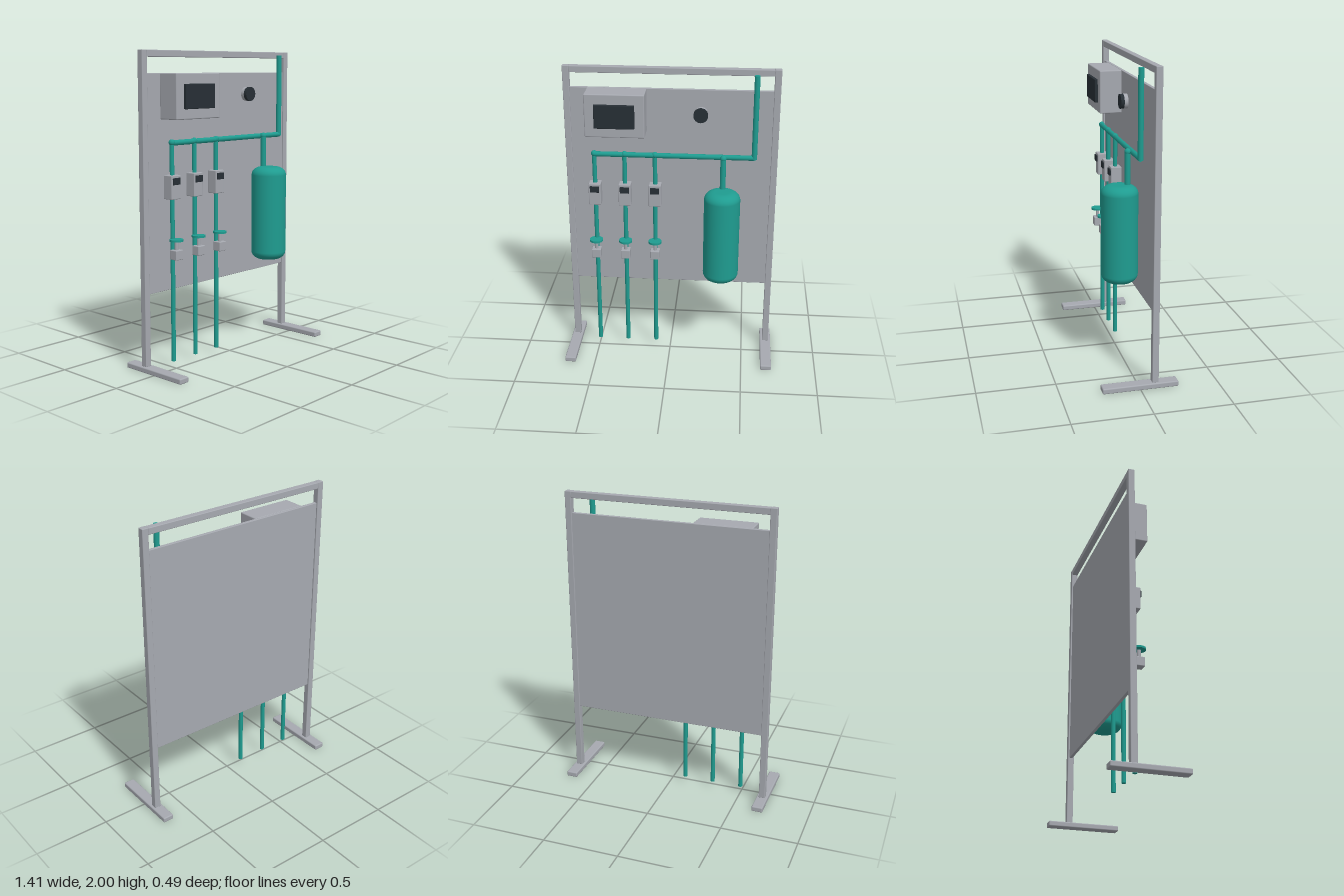
import * as THREE from 'three';
import { RoundedBoxGeometry } from 'three/addons/geometries/RoundedBoxGeometry.js';

const material = (name, color) => {
  const m = new THREE.MeshStandardMaterial({ color });
  m.name = name;
  return m;
};

export function createModel() {
  const grey = material('panel grey', 0xa6a9b0);
  const teal = material('pipe teal', 0x1f9c90);
  const dark = material('display dark', 0x272f35);
  const model = new THREE.Group();
  model.name = 'pipingTestStand';

  const add = (parent, name, geometry, mat, x, y, z) => {
    const mesh = new THREE.Mesh(geometry, mat);
    mesh.name = name;
    mesh.position.set(x, y, z);
    parent.add(mesh);
    return mesh;
  };
  // Box given by its minimum and maximum corners
  const box = (parent, name, mat, [x0, y0, z0], [x1, y1, z1], r = 0.005) =>
    add(parent, name, new RoundedBoxGeometry(x1 - x0, y1 - y0, z1 - z0, 2, r), mat,
      (x0 + x1) / 2, (y0 + y1) / 2, (z0 + z1) / 2);
  // Vertical cylinder from y0 to y1
  const rod = (parent, name, mat, r, x, z, y0, y1, sides = 16) =>
    add(parent, name, new THREE.CylinderGeometry(r, r, y1 - y0, sides), mat, x, (y0 + y1) / 2, z);
  const ball = (parent, name, r, x, y, z) =>
    add(parent, name, new THREE.SphereGeometry(r, 16, 12), teal, x, y, z);

  // Frame: feet, posts, top rail and back panel
  const frame = new THREE.Group();
  frame.name = 'frame';
  model.add(frame);
  for (const side of [-1, 1]) {
    const x = side * 0.668;
    const label = side > 0 ? 'left' : 'right';
    box(frame, label + 'Foot', grey, [x - 0.037, 0, -0.243], [x + 0.037, 0.036, 0.243], 0.008);
    box(frame, label + 'Post', grey, [x - 0.021, 0.034, -0.118], [x + 0.021, 2, -0.076], 0.004);
  }
  box(frame, 'topRail', grey, [-0.648, 1.957, -0.118], [0.648, 1.999, -0.076], 0.004);
  box(frame, 'backPanel', grey, [-0.65, 0.493, -0.108], [0.65, 1.86, -0.086], 0.003);

  // Control box with screen
  const control = new THREE.Group();
  control.name = 'controlBox';
  model.add(control);
  box(control, 'controlHousing', grey, [-0.537, 1.578, -0.088], [-0.156, 1.86, 0.06], 0.007);
  box(control, 'controlScreen', dark, [-0.474, 1.642, 0.055], [-0.218, 1.795, 0.08], 0.004);

  // Round gauge
  const gauge = new THREE.Group();
  gauge.name = 'gauge';
  model.add(gauge);
  const disc = (name, mat, z0, z1) => {
    const geometry = new THREE.CylinderGeometry(0.046, 0.046, z1 - z0, 24).rotateX(Math.PI / 2);
    add(gauge, name, geometry, mat, 0.193, 1.72, (z0 + z1) / 2);
  };
  disc('gaugeBody', grey, -0.032, -0.008);
  disc('gaugeFace', dark, -0.008, 0.014);

  // Manifold and riser
  const pipeZ = -0.029, manifoldY = 1.433;
  const manifold = new THREE.CylinderGeometry(0.017, 0.017, 1.035, 12).rotateZ(Math.PI / 2);
  add(model, 'manifoldPipe', manifold, teal, 0.0225, manifoldY, pipeZ);
  rod(model, 'riserPipe', teal, 0.0175, 0.538, pipeZ, 1.425, 1.975);

  // Three branches, each with a meter and a valve
  for (const x of [-0.495, -0.298, -0.1]) {
    const branch = new THREE.Group();
    branch.name = 'branch';
    model.add(branch);
    ball(branch, 'branchJoint', 0.02, x, manifoldY + 0.003, pipeZ);
    rod(branch, 'branchPipe', teal, 0.0145, x, pipeZ, 0.042, manifoldY, 12);
    box(branch, 'meterBody', grey, [x - 0.04, 1.085, -0.064], [x + 0.04, 1.235, 0.008]);
    box(branch, 'meterScreen', dark, [x - 0.03, 1.177, 0.003], [x + 0.03, 1.219, 0.017], 0.002);
    box(branch, 'valveBody', grey, [x - 0.031, 0.706, -0.024], [x + 0.031, 0.768, 0.034]);
    rod(branch, 'valveStem', grey, 0.012, x, 0.005, 0.76, 0.825);
    rod(branch, 'valveWheel', teal, 0.044, x, 0.005, 0.822, 0.835, 24);
  }

  // Tank with rounded shoulders and its feed pipe
  const tank = new THREE.Group();
  tank.name = 'tank';
  model.add(tank);
  const R = 0.117, halfHeight = 0.318, rx = 0.068, ry = 0.055;
  const profile = [new THREE.Vector2(0, -halfHeight)];
  for (const end of [-1, 1]) {
    for (let i = 0; i <= 8; i++) {
      const a = (end < 0 ? 8 - i : i) / 8 * Math.PI / 2;
      profile.push(new THREE.Vector2(R - rx + rx * Math.cos(a),
        end * (halfHeight - ry + ry * Math.sin(a))));
    }
  }
  profile.push(new THREE.Vector2(0, halfHeight));
  add(tank, 'tankShell', new THREE.LatheGeometry(profile, 40), teal, 0.341, 0.91, 0.05);
  rod(tank, 'tankFeedPipe', teal, 0.0185, 0.341, 0, 1.19, manifoldY);
  ball(tank, 'tankJoint', 0.021, 0.341, manifoldY + 0.002, -0.001);

  return model;
}
